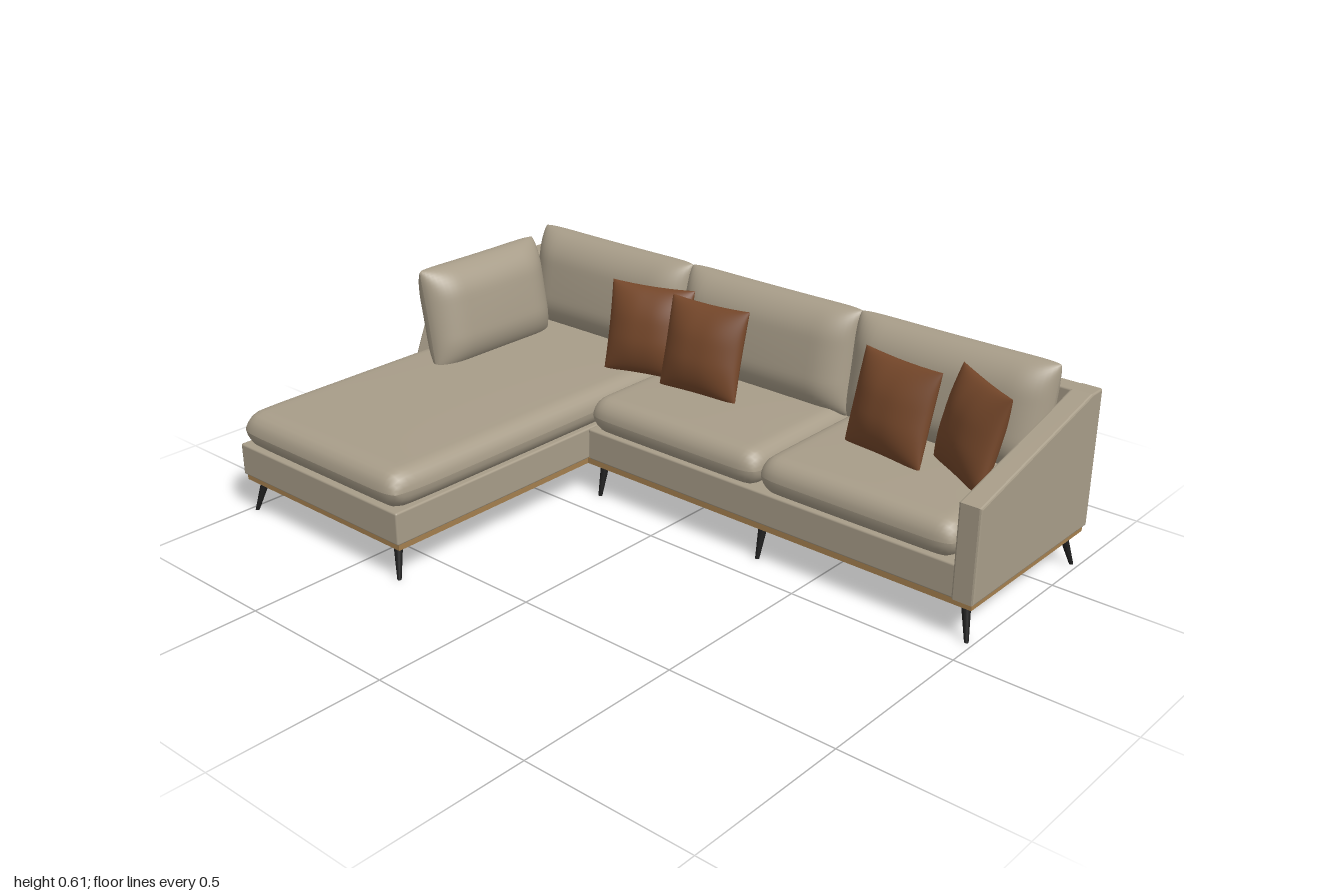
import * as THREE from 'three';
import { mergeGeometries } from 'three/addons/utils/BufferGeometryUtils.js';
import { RoundedBoxGeometry } from 'three/addons/geometries/RoundedBoxGeometry.js';

const fabric = new THREE.MeshStandardMaterial({ name: 'beigeFabric', color: 0xa89d89 });
const leather = new THREE.MeshStandardMaterial({ name: 'brownLeather', color: 0x75472a });
const wood = new THREE.MeshStandardMaterial({ name: 'wood', color: 0xa5804f });
const metal = new THREE.MeshStandardMaterial({ name: 'blackMetal', color: 0x1e1e1e });

// Stuffed cushion: two domed halves meeting in a seam. edge = radius of the rounding,
// pinch = how far the sides pull in, corner = how far the corners are rounded off.
function cushionGeometry(w, h, thick, { edge = 0.1, pinch = 0, corner = 0, crown = 0.12 } = {}) {
  const rise = d => (d >= edge ? 1 : Math.sqrt(Math.max(0, 1 - (1 - d / edge) ** 2)));
  const half = () => {
    const g = new THREE.PlaneGeometry(2, 2, 32, 32);
    const p = g.attributes.position;
    for (let i = 0; i < p.count; i++) {
      const u = Math.sin(p.getX(i) * Math.PI / 2);
      const v = Math.sin(p.getY(i) * Math.PI / 2);
      const body = rise((1 - Math.abs(u)) * w / 2) * rise((1 - Math.abs(v)) * h / 2);
      const dome = 1 - crown + crown * (1 - u * u) * (1 - v * v);
      p.setXYZ(i,
        u * (w / 2 * (1 - pinch * (1 - v * v)) - corner * Math.abs(v) ** 14),
        v * (h / 2 * (1 - pinch * (1 - u * u)) - corner * Math.abs(u) ** 14),
        thick / 2 * body * dome);
    }
    g.computeVertexNormals();
    return g;
  };
  return mergeGeometries([half(), half().rotateY(Math.PI)]);
}

export function createModel() {
  const model = new THREE.Group();
  model.name = 'cornerSofa';

  function add(name, geometry, material, x = 0, y = 0, z = 0, yaw = 0, tilt = 0) {
    const mesh = new THREE.Mesh(geometry, material);
    mesh.name = name;
    mesh.position.set(x, y, z);
    mesh.rotation.set(tilt, yaw, 0, 'YXZ');
    model.add(mesh);
    return mesh;
  }

  // Box given by its limits on each axis
  function block(name, x0, x1, y0, y1, z0, z1) {
    add(name, new RoundedBoxGeometry(x1 - x0, y1 - y0, z1 - z0, 2, 0.006), fabric,
      (x0 + x1) / 2, (y0 + y1) / 2, (z0 + z1) / 2);
  }

  // Frame and backrest
  block('chaiseBase', -0.998, -0.316, 0.118, 0.215, -0.66, 0.66);
  block('seatBase', -0.314, 0.96, 0.118, 0.215, -0.65, -0.078);
  block('backrest', -1, 1, 0.118, 0.522, -0.665, -0.608);

  // Arms: side profiles of [z, y] extruded across x
  function arm(name, x, profile) {
    const bevel = 0.006;
    const shape = new THREE.Shape(profile.map(([z, y]) => new THREE.Vector2(-z, y)));
    const g = new THREE.ExtrudeGeometry(shape, {
      depth: 0.065 - 2 * bevel, bevelThickness: bevel, bevelSize: bevel,
      bevelOffset: -bevel, bevelSegments: 2,
    });
    add(name, g.rotateY(Math.PI / 2), fabric, x + bevel);
  }
  arm('leftArm', 0.935, [[-0.075, 0.118], [-0.075, 0.39], [-0.61, 0.522], [-0.664, 0.522], [-0.664, 0.118]]);
  arm('rightArm', -1, [[-0.02, 0.118], [-0.02, 0.3], [-0.115, 0.522], [-0.664, 0.522], [-0.664, 0.118]]);

  // L-shaped wooden plinth
  const outline = [[-0.99, -0.655], [0.99, -0.655], [0.99, 0.085], [-0.325, 0.085], [-0.325, 0.66], [0.99, 0.66]];
  outline.splice(0, outline.length,
    [-0.992, -0.652], [-0.322, -0.652], [-0.322, 0.083], [0.992, 0.083], [0.992, 0.658], [-0.992, 0.658]);
  const plinth = new THREE.ExtrudeGeometry(
    new THREE.Shape(outline.map(([x, y]) => new THREE.Vector2(x, y))), { depth: 0.02, bevelEnabled: false });
  add('plinth', plinth.rotateX(-Math.PI / 2), wood, 0, 0.1, 0);

  // Seat cushions
  function seat(name, x0, x1, z0, z1) {
    const g = cushionGeometry(x1 - x0, z1 - z0, 0.118, { edge: 0.05, corner: 0.015, crown: 0.08 });
    add(name, g, fabric, (x0 + x1) / 2, 0.263, (z0 + z1) / 2, 0, -Math.PI / 2);
  }
  seat('chaiseCushion', -0.995, -0.31, -0.62, 0.665);
  seat('middleSeatCushion', -0.315, 0.308, -0.62, -0.07);
  seat('leftSeatCushion', 0.306, 0.933, -0.62, -0.07);

  // Back cushions and the loose one against the chaise arm
  const backShape = { edge: 0.1, pinch: 0.012, corner: 0.004 };
  for (const [name, x] of [['right', -0.625], ['middle', 0], ['left', 0.62]]) {
    add(name + 'BackCushion', cushionGeometry(0.63, 0.32, 0.165, backShape), fabric,
      x, 0.452, -0.527, 0, -0.15);
  }
  add('chaiseSideCushion', cushionGeometry(0.48, 0.32, 0.165, backShape), fabric,
    -0.857, 0.452, -0.19, Math.PI / 2, -0.17);

  // Scatter pillows: x, z, yaw
  const scatter = [[-0.315, -0.35, 0.28], [-0.092, -0.338, 0.08], [0.563, -0.338, -0.15], [0.795, -0.358, -0.56]];
  for (const [x, z, yaw] of scatter) {
    add('scatterPillow', cushionGeometry(0.27, 0.275, 0.115, { edge: 0.11, pinch: 0.04, crown: 0.25 }),
      leather, x, 0.448, z, yaw, -0.25);
  }

  // Splayed legs: foot x, foot z, splay in x and z
  const legs = [
    [-0.98, 0.64, -1, 1], [-0.345, 0.64, 1, 1],
    [-0.285, -0.095, 0, 1], [0.31, -0.095, 0, 1], [0.98, -0.095, 1, 1],
    [-0.98, -0.643, -1, -1], [0, -0.643, 0, -1], [0.98, -0.643, 1, -1],
  ];
  for (const [x, z, sx, sz] of legs) {
    const g = new THREE.CylinderGeometry(0.014, 0.006, 0.105, 16).translate(0, 0.0525, 0);
    const p = g.attributes.position;
    for (let i = 0; i < p.count; i++) {
      const t = p.getY(i) / 0.105 * 0.026;
      p.setX(i, p.getX(i) - sx * t);
      p.setZ(i, p.getZ(i) - sz * t);
    }
    g.computeVertexNormals();
    add('leg', g, metal, x, 0, z);
  }

  return model;
}
